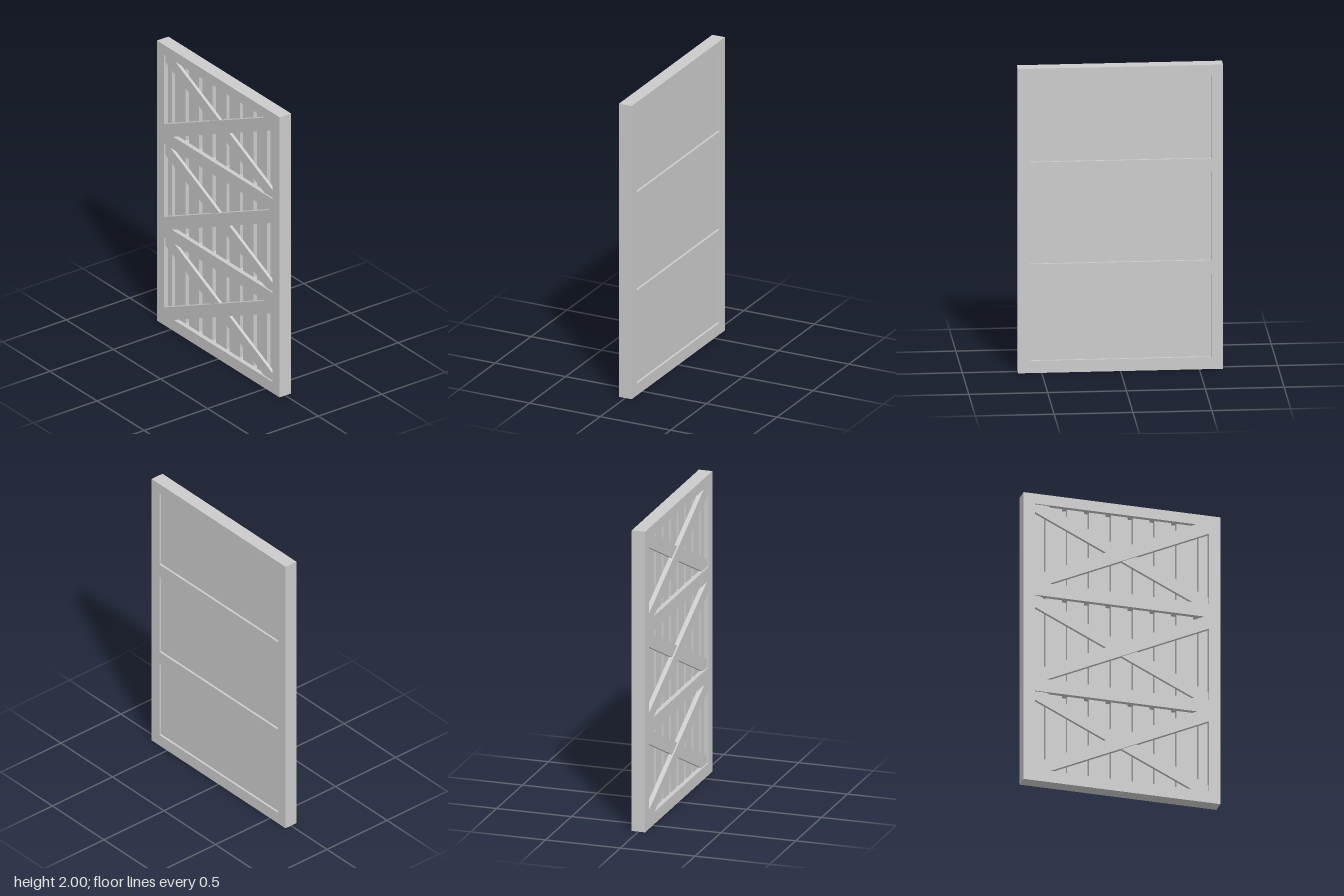
import * as THREE from 'three';

const W = 0.65, H = 2, FRONT = 0.045;   // half width, height, half depth
const INNER = 0.575;                    // half width of the openings
const SLOPE = 0.467, HALF = 0.047;      // brace slope and half its upright thickness
const PLANK_FRONT = 0.015, PANEL_FRONT = -0.015, PANEL_BACK = -0.03;

// bottom, top and brace crossing height of each opening
const openings = [
  { y0: 0.08, y1: 0.626, cy: 0.347 },
  { y0: 0.716, y1: 1.294, cy: 0.993 },
  { y0: 1.385, y1: 1.93, cy: 1.655 },
];

const material = new THREE.MeshStandardMaterial({ color: 0xcccccc });

function add(group, name, geometry) {
  const mesh = new THREE.Mesh(geometry, material);
  mesh.name = name;
  group.add(mesh);
  return mesh;
}

function polygon(points) {
  return new THREE.Shape(points.map(([x, y]) => new THREE.Vector2(x, y)));
}

function slab(shape, z0, z1) {
  return new THREE.ExtrudeGeometry(shape, { depth: z1 - z0, bevelEnabled: false }).translate(0, 0, z0);
}

function box(x0, x1, y0, y1, z0, z1) {
  return new THREE.BoxGeometry(x1 - x0, y1 - y0, z1 - z0)
    .translate((x0 + x1) / 2, (y0 + y1) / 2, (z0 + z1) / 2);
}

// diagonal bar trimmed to its opening; side = -1 mirrors it
function brace({ y0, y1, cy }, side) {
  return polygon([
    [-INNER, y0],
    [(y0 - cy + HALF) / SLOPE, y0],
    [INNER, cy - HALF + SLOPE * INNER],
    [INNER, y1],
    [(y1 - cy - HALF) / SLOPE, y1],
    [-INNER, cy + HALF - SLOPE * INNER],
  ].map(([x, y]) => [x * side, y]));
}

export function createModel() {
  const door = new THREE.Group();
  door.name = 'door';

  // frame with three openings
  const outline = polygon([[-W, 0], [W, 0], [W, H], [-W, H]]);
  for (const { y0, y1 } of openings) {
    outline.holes.push(polygon([[-INNER, y0], [-INNER, y1], [INNER, y1], [INNER, y0]]));
  }
  add(door, 'frame', slab(outline, -FRONT, FRONT));

  const gapCount = 8, pitch = 0.1443, firstGap = -0.515, gap = 0.035;
  for (const o of openings) {
    // flat backing panel
    add(door, 'backPanel', box(-INNER, INNER, o.y0, o.y1, PANEL_BACK, PANEL_FRONT));

    // upright planks with gaps between them
    for (let i = 0; i <= gapCount; i++) {
      const x0 = i === 0 ? -INNER : firstGap + (i - 1) * pitch + gap / 2;
      const x1 = i === gapCount ? INNER : firstGap + i * pitch - gap / 2;
      add(door, 'plank', box(x0, x1, o.y0, o.y1, PANEL_FRONT, PLANK_FRONT));
    }

    // crossed braces, the falling one set slightly back
    add(door, 'risingBrace', slab(brace(o, 1), PLANK_FRONT, FRONT));
    add(door, 'fallingBrace', slab(brace(o, -1), PLANK_FRONT, FRONT - 0.01));
  }
  return door;
}
